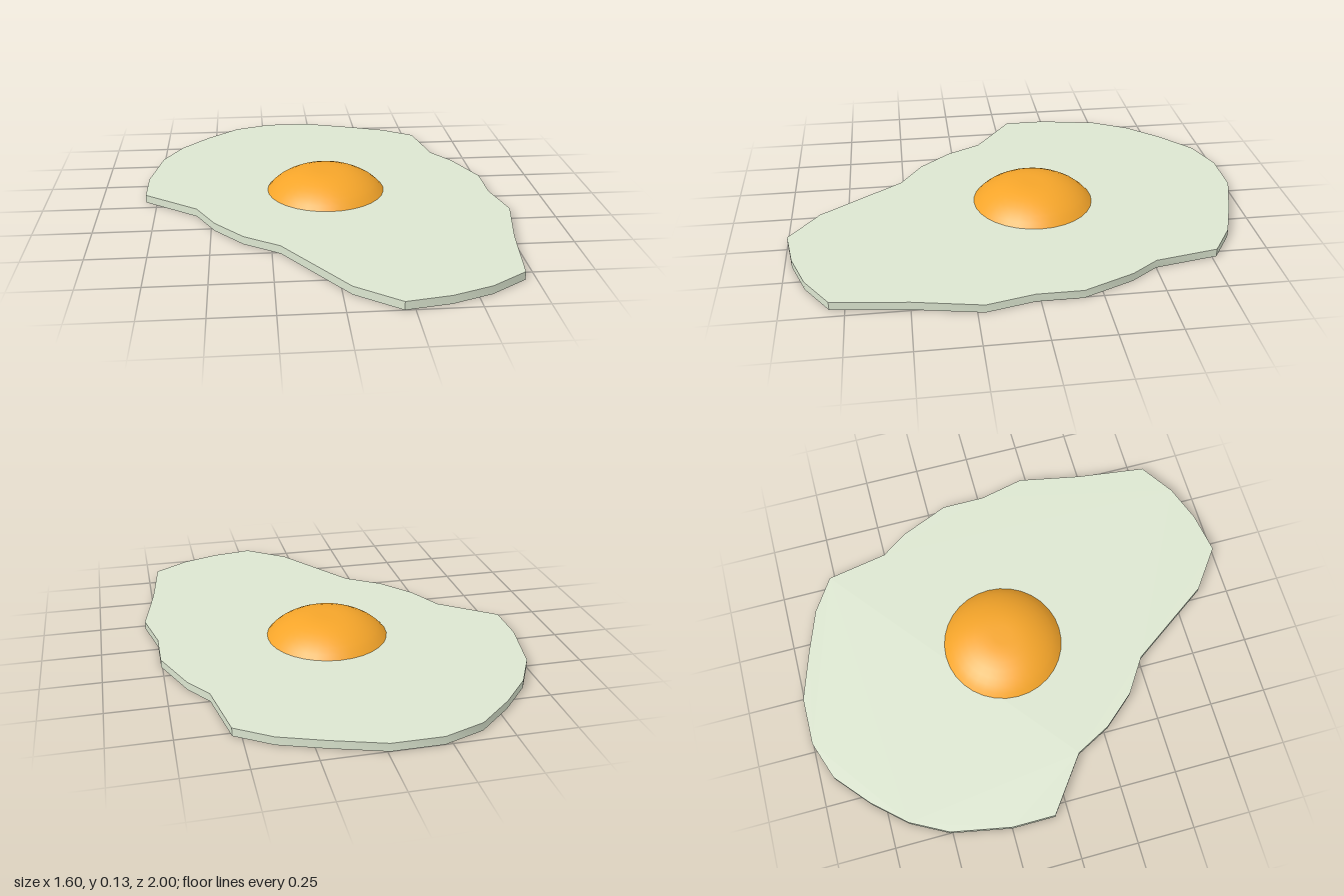
import * as THREE from 'three';
import { toCreasedNormals } from 'three/addons/utils/BufferGeometryUtils.js';

const THICKNESS = 0.035;

// Irregular outline of the egg white as [x, z]
const OUTLINE = [
  [-0.22, -1], [-0.01, -1], [0.21, -0.93], [0.39, -0.865], [0.535, -0.77],
  [0.585, -0.5], [0.665, -0.385], [0.755, -0.17], [0.755, 0.02], [0.8, 0.22],
  [0.745, 0.5], [0.705, 0.81], [0.555, 0.91], [0.39, 0.97], [0.21, 1],
  [0.035, 0.87], [-0.215, 0.51], [-0.365, 0.41], [-0.485, 0.27], [-0.565, 0.115],
  [-0.8, -0.06], [-0.8, -0.25], [-0.75, -0.51], [-0.665, -0.67], [-0.54, -0.81],
  [-0.39, -0.94],
];

// Yolk dome from rim to crown as [radius, y]
const DOME = [
  [0.267, 0.033], [0.248, 0.054], [0.224, 0.074], [0.195, 0.092], [0.162, 0.108],
  [0.125, 0.12], [0.085, 0.128], [0.043, 0.13], [0, 0.13],
];

function addMesh(group, name, geometry, color) {
  const mesh = new THREE.Mesh(geometry, new THREE.MeshStandardMaterial({ color }));
  mesh.name = name;
  group.add(mesh);
  return mesh;
}

export function createModel() {
  const group = new THREE.Group();
  group.name = 'friedEgg';

  // Flat slab of egg white, its side wall softly shaded
  const shape = new THREE.Shape(OUTLINE.map(([x, z]) => new THREE.Vector2(x, z)));
  const slab = new THREE.ExtrudeGeometry(shape, { depth: THICKNESS, bevelEnabled: false });
  slab.rotateX(Math.PI / 2).translate(0, THICKNESS, 0);
  addMesh(group, 'eggWhite', toCreasedNormals(slab, 0.8), 0xdce6d0);

  // Low yolk dome
  const profile = DOME.map(([r, y]) => new THREE.Vector2(r, y));
  const yolk = addMesh(group, 'yolk', new THREE.LatheGeometry(profile, 32), 0xf5a52a);
  yolk.position.set(0.016, 0, -0.075);

  return group;
}
